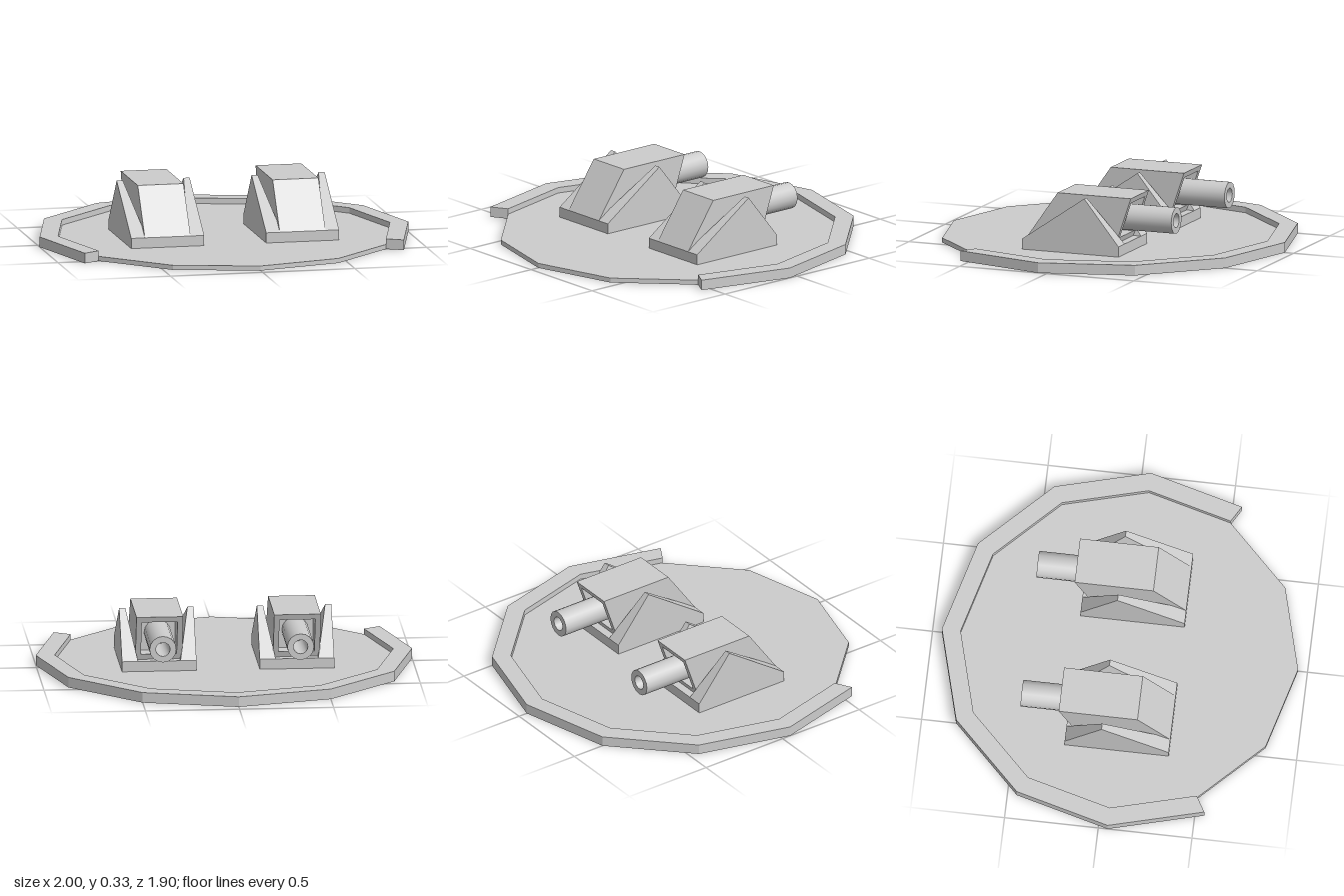
import * as THREE from 'three';
import { toCreasedNormals } from 'three/addons/utils/BufferGeometryUtils.js';

const flat = new THREE.MeshStandardMaterial({ color: 0xcccccc, flatShading: true });
const shell = new THREE.MeshStandardMaterial({ color: 0xcccccc, flatShading: true, side: THREE.DoubleSide });
const smooth = new THREE.MeshStandardMaterial({ color: 0xcccccc });

const PLATE_TOP = 0.025, RIM_TOP = 0.055, PLATE_R = 0.9, RIM_R = 1;
const BASE_TOP = 0.08;

function part(name, geometry, material, parent) {
  const mesh = new THREE.Mesh(geometry, material);
  mesh.name = name;
  parent.add(mesh);
  return mesh;
}

const profile = (points) => points.map(([r, y]) => new THREE.Vector2(r, y));

// Skins a row of equal-length loops and caps both ends
function loft(loops) {
  const pos = [];
  const tri = (a, b, c) => pos.push(...a, ...b, ...c);
  const n = loops[0].length;
  for (let i = 0; i < loops.length - 1; i++) {
    for (let j = 0; j < n; j++) {
      const k = (j + 1) % n;
      const a = loops[i][j], b = loops[i][k], c = loops[i + 1][k], d = loops[i + 1][j];
      tri(a, d, c);
      tri(a, c, b);
    }
  }
  const first = loops[0], last = loops[loops.length - 1];
  for (let j = 1; j < n - 1; j++) {
    tri(first[0], first[j], first[j + 1]);
    tri(last[0], last[j + 1], last[j]);
  }
  const g = new THREE.BufferGeometry();
  g.setAttribute('position', new THREE.Float32BufferAttribute(pos, 3));
  g.computeVertexNormals();
  return g;
}

// Rectangle loop of half width w, with separate depths at bottom and top
const rect = (w, y0, z0, y1, z1) => [[-w, y0, z0], [w, y0, z0], [w, y1, z1], [-w, y1, z1]];

function createTurret() {
  const turret = new THREE.Group();
  turret.name = 'turret';

  // Low footing block
  const base = part('turretBase', new THREE.BoxGeometry(0.396, BASE_TOP - PLATE_TOP, 0.555), flat, turret);
  base.position.set(0, (BASE_TOP + PLATE_TOP) / 2, 0.0475);

  // Wedge housing, overhanging at the back, with a recessed opening
  const backZ = (y) => -0.185 - (y - BASE_TOP) * 0.34;
  part('turretHousing', loft([
    rect(0.124, BASE_TOP, 0.325, 0.33, 0.15),
    rect(0.124, BASE_TOP, backZ(BASE_TOP), 0.33, backZ(0.33)),
    rect(0.095, 0.11, backZ(0.11), 0.3, backZ(0.3)),
    rect(0.095, 0.11, -0.1, 0.3, -0.1),
  ]), flat, turret);

  // Triangular side braces, thicker at the foot
  const triangle = (foot, tip) => [[foot, BASE_TOP, 0.325], [foot, BASE_TOP, -0.23], [tip, 0.325, -0.033]];
  const brace = loft([triangle(0.198, 0.198), triangle(0.113, 0.165)]);
  for (const side of [1, -1]) {
    part(side > 0 ? 'leftBrace' : 'rightBrace', brace, flat, turret).scale.x = side;
  }

  // Hollow barrel pointing backward
  const tube = new THREE.LatheGeometry(
    profile([[0.071, 0], [0.071, 0.38], [0.038, 0.38], [0.038, 0.1], [0, 0.1]]), 16);
  const barrel = part('barrel', toCreasedNormals(tube, 0.6), smooth, turret);
  barrel.rotation.x = -Math.PI / 2;
  barrel.position.set(0, 0.205, -0.1);
  return turret;
}

export function createModel() {
  const model = new THREE.Group();
  model.name = 'turretPlatform';

  const platform = new THREE.Group();
  platform.name = 'platform';
  platform.position.z = 0.05;
  model.add(platform);

  // Twelve-sided deck, open underneath
  part('deck', new THREE.LatheGeometry(
    profile([[PLATE_R, 0], [PLATE_R, PLATE_TOP], [0, PLATE_TOP]]), 12), shell, platform);

  // Raised rim around the back two thirds, open underneath
  const start = Math.PI / 3, sweep = Math.PI * 4 / 3;
  part('rim', new THREE.LatheGeometry(
    profile([[RIM_R, 0], [RIM_R, RIM_TOP], [PLATE_R, RIM_TOP], [PLATE_R, PLATE_TOP]]),
    8, start, sweep), shell, platform);

  // Caps closing the two ends of the rim
  for (const angle of [start, start + sweep]) {
    const cap = part('rimEnd', new THREE.PlaneGeometry(RIM_R - PLATE_R, RIM_TOP), shell, platform);
    const r = (RIM_R + PLATE_R) / 2;
    cap.position.set(r * Math.sin(angle), RIM_TOP / 2, r * Math.cos(angle));
    cap.rotation.y = angle - Math.PI / 2;
  }

  // Pair of turrets
  for (const side of [1, -1]) {
    const turret = createTurret();
    turret.name = side > 0 ? 'leftTurret' : 'rightTurret';
    turret.position.x = side * 0.366;
    model.add(turret);
  }
  return model;
}
